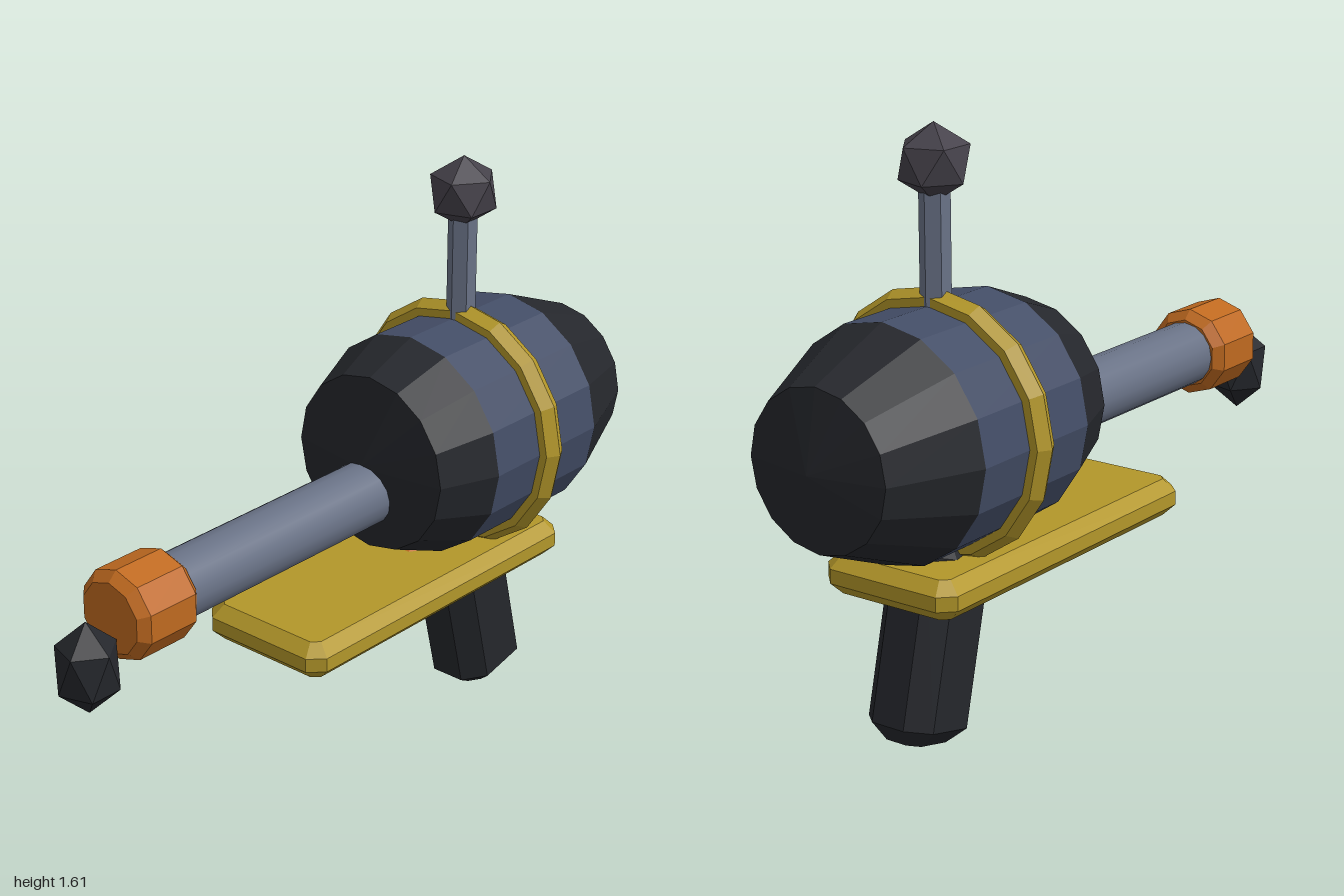
import * as THREE from 'three';

const mat = (color, flatShading = true) => new THREE.MeshStandardMaterial({ color, flatShading });

// Solid of revolution along z; profile is [radius, z] with z ascending
function latheZ(profile, sides) {
  const pts = profile.map(([r, z]) => new THREE.Vector2(r, z));
  return new THREE.LatheGeometry(pts, sides).rotateX(Math.PI / 2);
}

// Box with every edge chamfered by c, centred on the origin
function chamferBox(w, h, d, c) {
  const x = w / 2 - c, z = d / 2 - c, k = c * 0.6;
  const shape = new THREE.Shape([
    [x, -z + k], [x, z - k], [x - k, z], [-x + k, z],
    [-x, z - k], [-x, -z + k], [-x + k, -z], [x - k, -z],
  ].map(([a, b]) => new THREE.Vector2(a, b)));
  return new THREE.ExtrudeGeometry(shape, {
    depth: h - 2 * c, bevelEnabled: true, bevelSegments: 1, bevelSize: c, bevelThickness: c,
  }).translate(0, 0, c - h / 2).rotateX(-Math.PI / 2);
}

// Icosahedron standing on a vertex
function gem(radius, stretch = 1) {
  return new THREE.IcosahedronGeometry(radius, 0)
    .rotateX(-Math.atan((1 + Math.sqrt(5)) / 2))
    .rotateY(Math.PI / 2)
    .scale(1, stretch, 1);
}

export function createModel() {
  const group = new THREE.Group();
  const dark = mat(0x25272c), blue = mat(0x434d66), gold = mat(0xb3972a);
  const orange = mat(0xc06a20), steel = mat(0x697286);

  const add = (name, geometry, material, y, z, tilt = 0) => {
    const mesh = new THREE.Mesh(geometry, material);
    mesh.name = name;
    mesh.position.set(0, y, z);
    mesh.rotation.x = tilt;
    group.add(mesh);
  };

  // Tank: blue middle with dark tapered ends and a gold hoop
  const tankY = 0.842;
  add('tankMiddle', latheZ([[0.312, -0.71], [0.312, -0.29]], 16), blue, tankY, 0);
  add('tankFront', latheZ([[0.312, -0.29], [0.248, -0.125], [0, -0.085]], 16), dark, tankY, 0);
  add('tankBack', latheZ([[0, -1], [0.21, -0.96], [0.312, -0.71]], 16), dark, tankY, 0);
  add('tankHoop', new THREE.TorusGeometry(0.315, 0.04, 6, 16), gold, tankY, -0.5);

  // Antenna
  add('antennaRod', new THREE.CylinderGeometry(0.04, 0.04, 0.34, 6), steel, 1.29, -0.5);
  add('antennaBall', gem(0.1), mat(0x45414a), 1.51, -0.5);

  // Nozzle pipe, collar and drop
  add('nozzlePipe', latheZ([[0.09, -0.2], [0.09, 0.65]], 16), mat(0x697286, false), 0.76, 0);
  add('nozzleCollar', latheZ([
    [0, 0.632], [0.098, 0.632], [0.124, 0.658], [0.124, 0.812], [0.098, 0.838], [0, 0.838],
  ], 10).rotateZ(Math.PI), orange, 0.76, 0);
  add('nozzleDrop', gem(0.09, 1.42), dark, 0.657, 0.92);

  // Base plate, grip and trigger
  add('basePlate', chamferBox(0.415, 0.105, 1.045, 0.033), gold, 0.468, -0.207);
  add('grip', chamferBox(0.21, 0.54, 0.25, 0.046), dark, 0.286, -0.545, 0.237);
  add('trigger', chamferBox(0.068, 0.18, 0.068, 0.016), orange, 0.44, -0.29, -0.26);

  return group;
}
